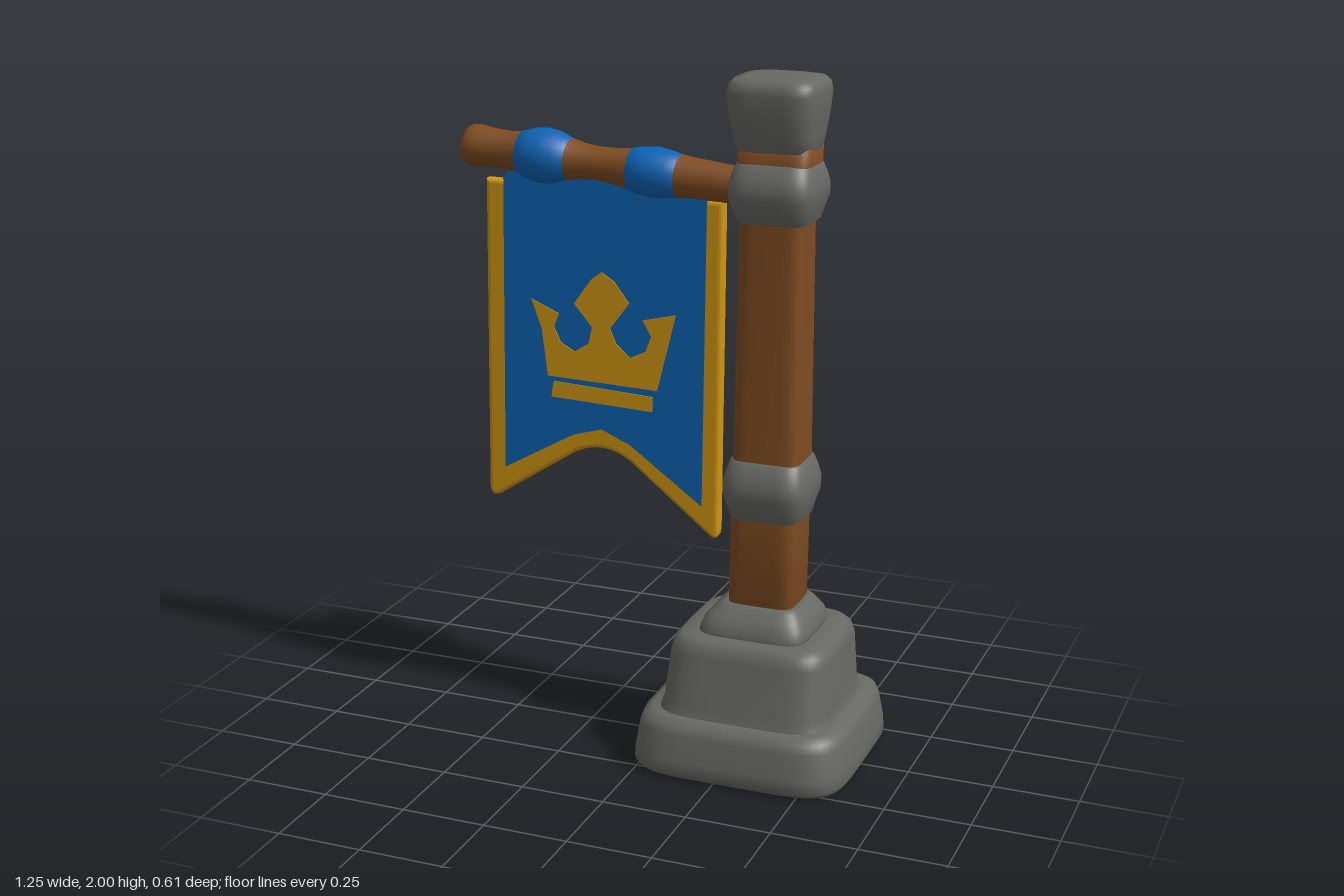
import * as THREE from 'three';

const mat = (name, color, side = THREE.FrontSide) => {
  const m = new THREE.MeshStandardMaterial({ color, side });
  m.name = name;
  return m;
};

// Rounded-square column; rows are [y, halfWidth, halfDepth, centreX]
function loft(rows, e = 0.38, n = 48) {
  const pos = [], idx = [];
  const pw = v => Math.sign(v) * Math.pow(Math.abs(v) < 1e-9 ? 0 : Math.abs(v), e);
  const first = rows[0], last = rows[rows.length - 1];
  const all = [[first[0], 0, 0, first[3]], ...rows, [last[0], 0, 0, last[3]]];
  all.forEach(([y, w, d, cx], r) => {
    for (let i = 0; i < n; i++) {
      const t = (i / n) * Math.PI * 2;
      pos.push(cx + w * pw(Math.cos(t)), y, d * pw(Math.sin(t)));
      if (r < all.length - 1) {
        const a = r * n + i, b = r * n + ((i + 1) % n);
        idx.push(a, a + n, b, b, a + n, b + n);
      }
    }
  });
  const g = new THREE.BufferGeometry();
  g.setAttribute('position', new THREE.Float32BufferAttribute(pos, 3));
  g.setIndex(idx);
  g.computeVertexNormals();
  return g;
}

// Flat shape extruded and centred on z = 0
function slab(shape, depth, bevel = 0) {
  const g = new THREE.ExtrudeGeometry(shape, {
    depth: depth - 2 * bevel, bevelEnabled: bevel > 0, bevelSize: bevel,
    bevelThickness: bevel, bevelOffset: -bevel, bevelSegments: 3, curveSegments: 8,
  });
  return g.translate(0, 0, -(depth - 2 * bevel) / 2);
}

const polygon = pts => new THREE.Shape(pts.map(p => new THREE.Vector2(...p)));

export function createModel() {
  const model = new THREE.Group();
  model.name = 'bannerPost';
  const stone = mat('stone', 0x686864);
  const wood = mat('wood', 0x7f4c22);
  const blue = mat('blueCloth', 0x0d64b5);
  const gold = mat('goldTrim', 0xd0960f);
  const add = (name, geometry, material, parent = model) => {
    const m = new THREE.Mesh(geometry, material);
    m.name = name;
    parent.add(m);
    return m;
  };

  // Stepped stone base
  add('baseFoot', loft([
    [0, 0.29, 0.27, 0.297], [0.006, 0.313, 0.293, 0.297], [0.025, 0.325, 0.306, 0.297],
    [0.06, 0.323, 0.304, 0.297], [0.135, 0.311, 0.291, 0.297], [0.16, 0.302, 0.282, 0.297],
    [0.174, 0.28, 0.26, 0.297], [0.178, 0.24, 0.22, 0.297]]), stone);
  add('baseMiddle', loft([
    [0.15, 0.265, 0.25, 0.297], [0.18, 0.258, 0.244, 0.297], [0.2, 0.25, 0.235, 0.297],
    [0.35, 0.239, 0.211, 0.302], [0.38, 0.23, 0.2, 0.302], [0.396, 0.212, 0.184, 0.302],
    [0.4, 0.17, 0.15, 0.302]]), stone);
  add('baseTop', loft([
    [0.38, 0.168, 0.155, 0.3], [0.41, 0.163, 0.15, 0.301], [0.435, 0.155, 0.143, 0.303],
    [0.455, 0.14, 0.127, 0.305], [0.475, 0.12, 0.11, 0.31], [0.485, 0.106, 0.097, 0.312]]), stone);

  // Timber post
  add('post', loft([
    [0.45, 0.1, 0.094, 0.312], [0.75, 0.1, 0.094, 0.316], [0.92, 0.1, 0.088, 0.32],
    [1.6, 0.094, 0.084, 0.325], [1.74, 0.106, 0.09, 0.33], [1.83, 0.108, 0.085, 0.33]]), wood);

  // Stone collars and cap
  const collar = (name, y0, y1, cx) => {
    const h = y1 - y0;
    add(name, loft([
      [y0, 0.1, 0.09, cx], [y0 + 0.004, 0.106, 0.1, cx], [y0 + h * 0.2, 0.114, 0.112, cx],
      [y0 + h * 0.42, 0.126, 0.125, cx], [y0 + h * 0.62, 0.126, 0.126, cx],
      [y0 + h * 0.8, 0.119, 0.115, cx], [y1 - 0.004, 0.109, 0.099, cx],
      [y1, 0.1, 0.09, cx]], 0.48), stone);
  };
  collar('lowerCollar', 0.74, 0.915, 0.32);
  collar('upperCollar', 1.6, 1.765, 0.328);
  add('cap', loft([
    [1.795, 0.1, 0.08, 0.328], [1.8, 0.109, 0.092, 0.328], [1.84, 0.117, 0.105, 0.327],
    [1.9, 0.127, 0.118, 0.326], [1.955, 0.132, 0.124, 0.326], [1.98, 0.128, 0.12, 0.326],
    [1.994, 0.114, 0.105, 0.326], [2, 0.085, 0.075, 0.326]], 0.5), stone);

  // Sloping crossbar, built along y from the post outward and turned to -x
  const bar = new THREE.Group();
  bar.name = 'crossbar';
  bar.position.set(0.26, 1.683, 0);
  bar.rotation.z = Math.PI / 2 - 0.073;
  model.add(bar);
  const turned = (name, material, pts) => {
    const v = pts.map(([r, y]) => new THREE.Vector2(r, y));
    add(name, new THREE.LatheGeometry(v, 28), material, bar);
  };
  turned('barInner', wood, [[0.052, 0], [0.054, 0.1], [0.058, 0.19], [0.062, 0.225]]);
  turned('barMiddle', wood, [[0.06, 0.365], [0.052, 0.42], [0.049, 0.47], [0.052, 0.52], [0.062, 0.565]]);
  turned('barOuter', wood, [[0.062, 0.705], [0.055, 0.75], [0.056, 0.8], [0.061, 0.845],
    [0.06, 0.868], [0.051, 0.883], [0.03, 0.891], [0, 0.893]]);
  [[0.22, 0.37, 0.073], [0.56, 0.712, 0.08]].forEach(([a, b, r], i) => {
    const h = b - a;
    turned('clothLoop' + (i + 1), blue, [[0.05, a], [0.061, a], [r - 0.005, a + h * 0.25],
      [r, a + h * 0.5], [r - 0.004, a + h * 0.75], [0.062, b], [0.05, b]]);
  });

  // Swallow-tailed banner: gold border body with the blue field just proud of it
  const border = new THREE.Shape();
  border.moveTo(-0.558, 1.655);
  border.lineTo(-0.57, 0.72);
  border.quadraticCurveTo(-0.57, 0.678, -0.535, 0.695);
  border.lineTo(-0.29, 0.855);
  border.quadraticCurveTo(-0.195, 0.905, -0.11, 0.845);
  border.lineTo(0.13, 0.655);
  border.quadraticCurveTo(0.163, 0.625, 0.163, 0.68);
  border.lineTo(0.172, 1.64);
  add('bannerBorder', slab(border, 0.044, 0.012), gold);

  const field = new THREE.Shape();
  field.moveTo(-0.5, 1.66);
  field.lineTo(-0.513, 0.785);
  field.lineTo(-0.29, 0.912);
  field.lineTo(-0.2, 0.938);
  field.lineTo(-0.11, 0.9);
  field.lineTo(0.113, 0.74);
  field.lineTo(0.125, 1.65);
  field.lineTo(0.1, 1.69);
  field.lineTo(-0.46, 1.71);
  add('bannerField', slab(field, 0.048), blue);

  // Crown emblem as thin plates on both faces
  const crown = polygon([[-0.368, 1.085], [-0.025, 1.075], [0.033, 1.305], [-0.068, 1.28],
    [-0.042, 1.235], [-0.06, 1.188], [-0.108, 1.165], [-0.15, 1.2], [-0.17, 1.245],
    [-0.11, 1.325], [-0.155, 1.385], [-0.195, 1.41], [-0.228, 1.385], [-0.282, 1.31],
    [-0.226, 1.245], [-0.237, 1.195], [-0.282, 1.166], [-0.325, 1.19], [-0.347, 1.235],
    [-0.33, 1.275], [-0.417, 1.312], [-0.385, 1.225]]);
  const crownBar = polygon([[-0.358, 1.022], [-0.04, 1.01], [-0.038, 1.055], [-0.35, 1.07]]);
  for (const side of [1, -1]) {
    const label = side > 0 ? 'Front' : 'Back';
    add('crown' + label, slab(crown, 0.006), gold).position.z = side * 0.024;
    add('crownBar' + label, slab(crownBar, 0.006), gold).position.z = side * 0.024;
  }
  return model;
}
